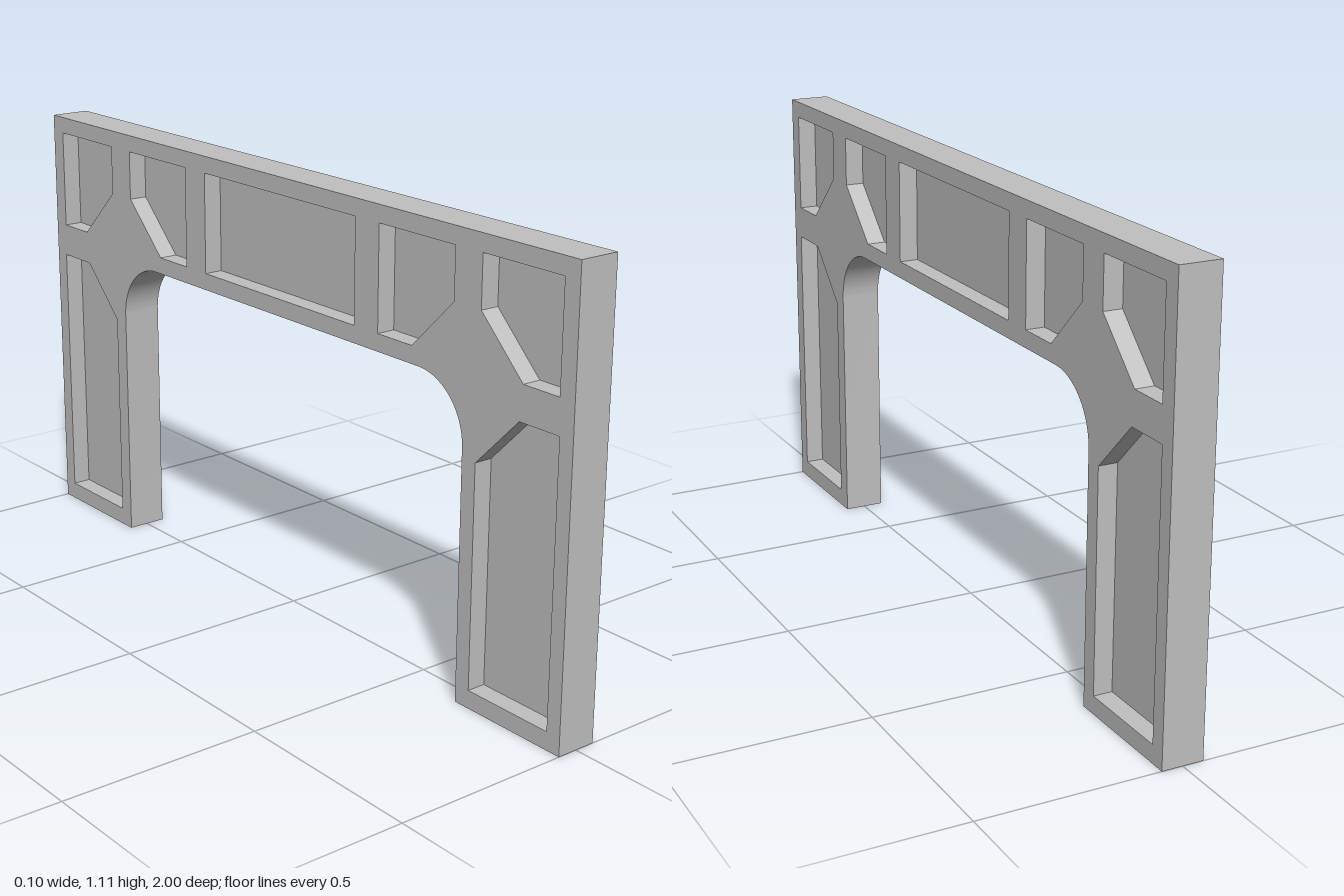
import * as THREE from 'three';
import { toCreasedNormals } from 'three/addons/utils/BufferGeometryUtils.js';

const THICKNESS = 0.104, WEB = 0.008;
const END = 1, TOP = 1.11, INNER = 0.667, SOFFIT = 0.767, RADIUS = 0.15;

// Pocket outlines as [distance along the span, height]
const POCKETS = [
  [[0.956, 1.067], [0.956, 0.81], [0.849, 0.81], [0.715, 0.941], [0.715, 1.067]], // corner
  [[0.629, 1.067], [0.629, 0.941], [0.494, 0.81], [0.377, 0.81], [0.377, 1.067]], // haunch
  [[0.96, 0.725], [0.96, 0.045], [0.71, 0.045], [0.71, 0.594], [0.841, 0.725]], // leg
];
const CENTRE = [[-0.293, 1.067], [-0.293, 0.81], [0.293, 0.81], [0.293, 1.067]];

const toPoints = (list, side = 1) => list.map(([s, y]) => new THREE.Vector2(s * side, y));

// Portal outline: two legs, a beam and rounded inner corners
function portalShape() {
  const s = new THREE.Shape();
  s.moveTo(-END, 0);
  s.lineTo(-INNER, 0);
  s.lineTo(-INNER, SOFFIT - RADIUS);
  s.absarc(-INNER + RADIUS, SOFFIT - RADIUS, RADIUS, Math.PI, Math.PI / 2, true);
  s.lineTo(INNER - RADIUS, SOFFIT);
  s.absarc(INNER - RADIUS, SOFFIT - RADIUS, RADIUS, Math.PI / 2, 0, true);
  s.lineTo(INNER, 0);
  s.lineTo(END, 0);
  s.lineTo(END, TOP);
  s.lineTo(-END, TOP);
  s.closePath();
  return s;
}

// Extrude a span/height shape across x, centred on x = 0
function extrudeAcross(shape, depth) {
  const g = new THREE.ExtrudeGeometry(shape, { depth, bevelEnabled: false, curveSegments: 16 });
  g.translate(0, 0, -depth / 2);
  g.rotateY(Math.PI / 2);
  return toCreasedNormals(g, 0.5);
}

export function createModel() {
  const group = new THREE.Group();
  group.name = 'portalFrame';
  const grey = new THREE.MeshStandardMaterial({ color: 0xc0c0c0 });
  grey.name = 'grey';

  const add = (name, geometry) => {
    const mesh = new THREE.Mesh(geometry, grey);
    mesh.name = name;
    group.add(mesh);
  };

  // All pockets, mirrored about the middle of the span
  const outlines = [toPoints(CENTRE)];
  for (const side of [1, -1]) for (const p of POCKETS) outlines.push(toPoints(p, side));

  // Frame with the pockets cut through
  const frame = portalShape();
  frame.holes = outlines.map((pts) => new THREE.Path(pts));
  add('frame', extrudeAcross(frame, THICKNESS));

  // Thin web closing each pocket at mid thickness
  outlines.forEach((pts, i) => add(`pocketWeb${i + 1}`, extrudeAcross(new THREE.Shape(pts), WEB)));

  return group;
}
